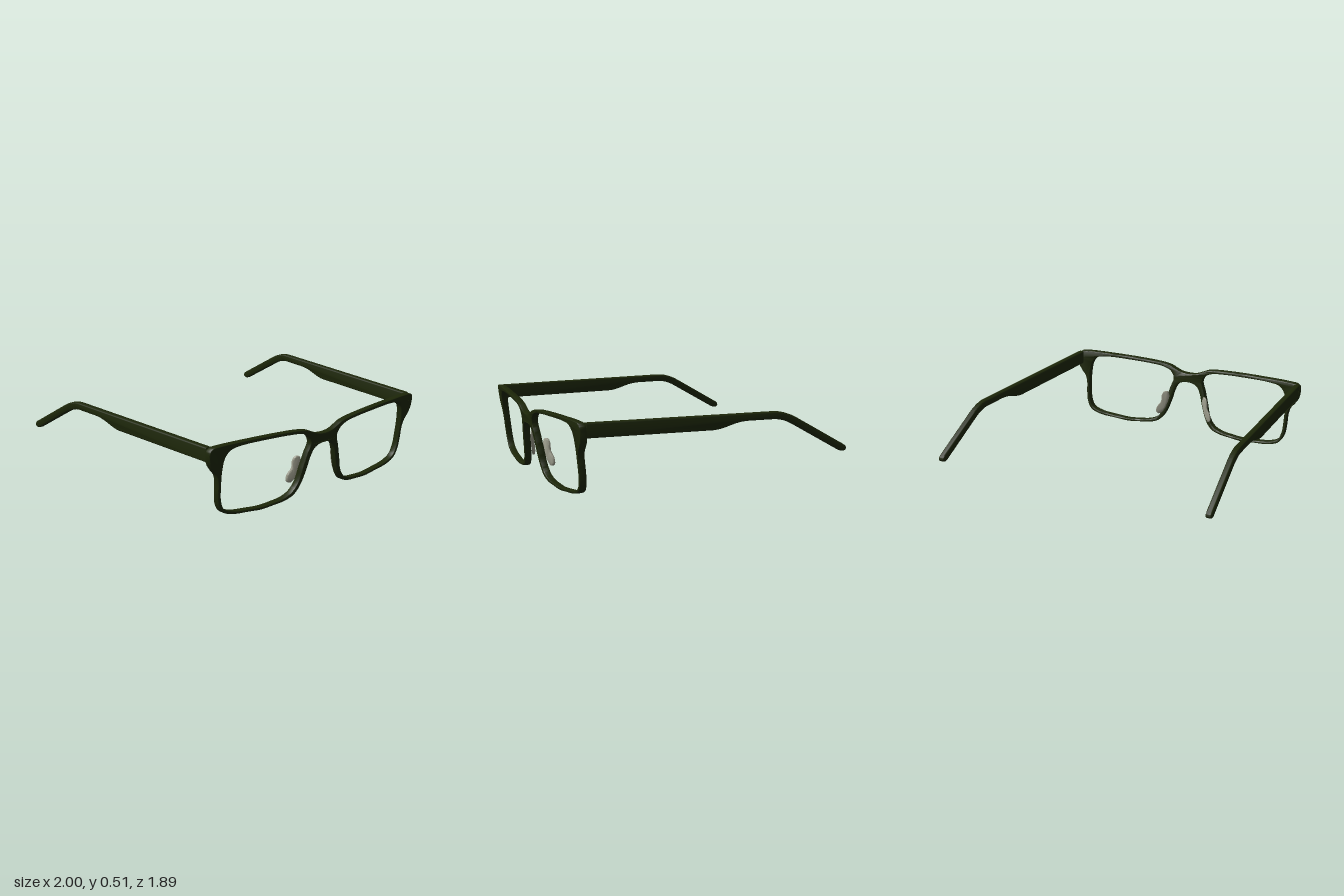
import * as THREE from 'three';
import { toCreasedNormals } from 'three/addons/utils/BufferGeometryUtils.js';

const frameMat = new THREE.MeshStandardMaterial({ color: 0x1d2709 });
frameMat.name = 'dark olive acetate';
const padMat = new THREE.MeshStandardMaterial({ color: 0x9a9a8a });
padMat.name = 'grey nose pad';

// smooth closed curve through [x, y] points, counter-clockwise
function closedCurve(points, samples) {
  const curve = new THREE.CatmullRomCurve3(points.map(([x, y]) => new THREE.Vector3(x, y, 0)), true);
  const loop = curve.getPoints(samples).slice(0, -1).map(p => new THREE.Vector2(p.x, p.y));
  return THREE.ShapeUtils.isClockWise(loop) ? loop.reverse() : loop;
}

// move every vertex by a rule
function deform(geometry, rule) {
  const pos = geometry.attributes.position;
  const v = new THREE.Vector3();
  for (let i = 0; i < pos.count; i++) {
    rule(v.fromBufferAttribute(pos, i));
    pos.setXYZ(i, v.x, v.y, v.z);
  }
  return geometry;
}

// plate with rounded edges, centred on its own thickness
function rounded(shape, depth, bevel) {
  return new THREE.ExtrudeGeometry(shape, {
    depth: depth - 2 * bevel, bevelSize: bevel, bevelThickness: bevel,
    bevelOffset: -bevel, bevelSegments: 3, curveSegments: 12,
  }).translate(0, 0, bevel - depth / 2);
}

// depth of the front: swept back to the sides and tilted in at the bottom
const frontZ = (x, y) => 0.925 - 0.073 * Math.pow(Math.abs(x) / 0.9, 1.25) - 0.115 * (0.47 - y);

function makeFront() {
  const side = [
    [0.06, 0.443], [0.11, 0.463], [0.15, 0.481], [0.22, 0.494], [0.4, 0.506], [0.6, 0.512],
    [0.82, 0.514], [0.885, 0.508], [0.905, 0.49], [0.907, 0.44], [0.898, 0.4], [0.873, 0.36],
    [0.842, 0.32], [0.828, 0.27], [0.825, 0.2], [0.814, 0.12], [0.78, 0.06], [0.7, 0.028],
    [0.58, 0.015], [0.47, 0.005], [0.38, 0.012], [0.29, 0.021], [0.22, 0.047], [0.175, 0.1],
    [0.135, 0.2], [0.108, 0.295], [0.083, 0.343], [0.045, 0.366],
  ];
  const mirrored = side.map(([x, y]) => [-x, y]).reverse();
  const outline = [[0, 0.437], ...side, [0, 0.371], ...mirrored];
  const lens = [
    [0.116, 0.39], [0.142, 0.44], [0.2, 0.467], [0.3, 0.479], [0.45, 0.486], [0.67, 0.488],
    [0.75, 0.474], [0.79, 0.432], [0.806, 0.35], [0.806, 0.25], [0.797, 0.14], [0.77, 0.08],
    [0.7, 0.048], [0.58, 0.032], [0.47, 0.023], [0.38, 0.029], [0.3, 0.04], [0.235, 0.07],
    [0.192, 0.13], [0.167, 0.22], [0.138, 0.32],
  ];
  const shape = new THREE.Shape(closedCurve(outline, 240));
  for (const s of [1, -1]) {
    const hole = closedCurve(lens.map(([x, y]) => [s * x, y]), 110);
    shape.holes.push(new THREE.Path(hole));
  }
  const geometry = deform(rounded(shape, 0.046, 0.005), v => { v.z += frontZ(v.x, v.y); });
  const front = new THREE.Mesh(toCreasedNormals(geometry, 0.8), frameMat);
  front.name = 'frontFrame';
  return front;
}

// temple arm: side profile drawn front to tip, splayed outwards towards the tip
function makeArm(s) {
  const p = new THREE.Shape();
  p.moveTo(-0.835, 0.413);
  p.lineTo(0, 0.413);
  p.bezierCurveTo(0.09, 0.415, 0.14, 0.46, 0.25, 0.46);
  p.lineTo(0.42, 0.46);
  p.quadraticCurveTo(0.49, 0.458, 0.566, 0.414);
  p.lineTo(0.895, 0.226);
  p.bezierCurveTo(0.935, 0.208, 0.965, 0.243, 0.92, 0.268);
  p.lineTo(0.58, 0.463);
  p.quadraticCurveTo(0.5, 0.508, 0.42, 0.509);
  p.lineTo(-0.835, 0.509);
  p.closePath();
  const geometry = rounded(p, 0.042, 0.01).rotateY(Math.PI / 2);
  deform(geometry, v => { v.x += s * (0.884 + (0.84 - v.z) * 0.0528); });
  const arm = new THREE.Mesh(toCreasedNormals(geometry, 0.8), frameMat);
  arm.name = s > 0 ? 'leftArm' : 'rightArm';
  return arm;
}

// nose pad: slim at the top, flared at the bottom, angled back behind the rim
function makePad(s) {
  const outline = [
    [0.15, 0.288], [0.172, 0.287], [0.187, 0.26], [0.192, 0.21], [0.219, 0.165],
    [0.224, 0.125], [0.205, 0.11], [0.18, 0.13], [0.152, 0.19], [0.138, 0.25],
  ];
  const shape = new THREE.Shape(closedCurve(outline.map(([x, y]) => [s * x, y]), 60));
  const geometry = deform(rounded(shape, 0.018, 0.006), v => {
    v.z += 0.858 - 0.5 * (Math.abs(v.x) - 0.14);
  });
  const pad = new THREE.Mesh(toCreasedNormals(geometry, 0.8), padMat);
  pad.name = s > 0 ? 'leftNosePad' : 'rightNosePad';
  return pad;
}

export function createModel() {
  const model = new THREE.Group();
  model.name = 'eyeglasses';
  model.add(makeFront());
  for (const s of [1, -1]) model.add(makeArm(s), makePad(s));
  return model;
}
